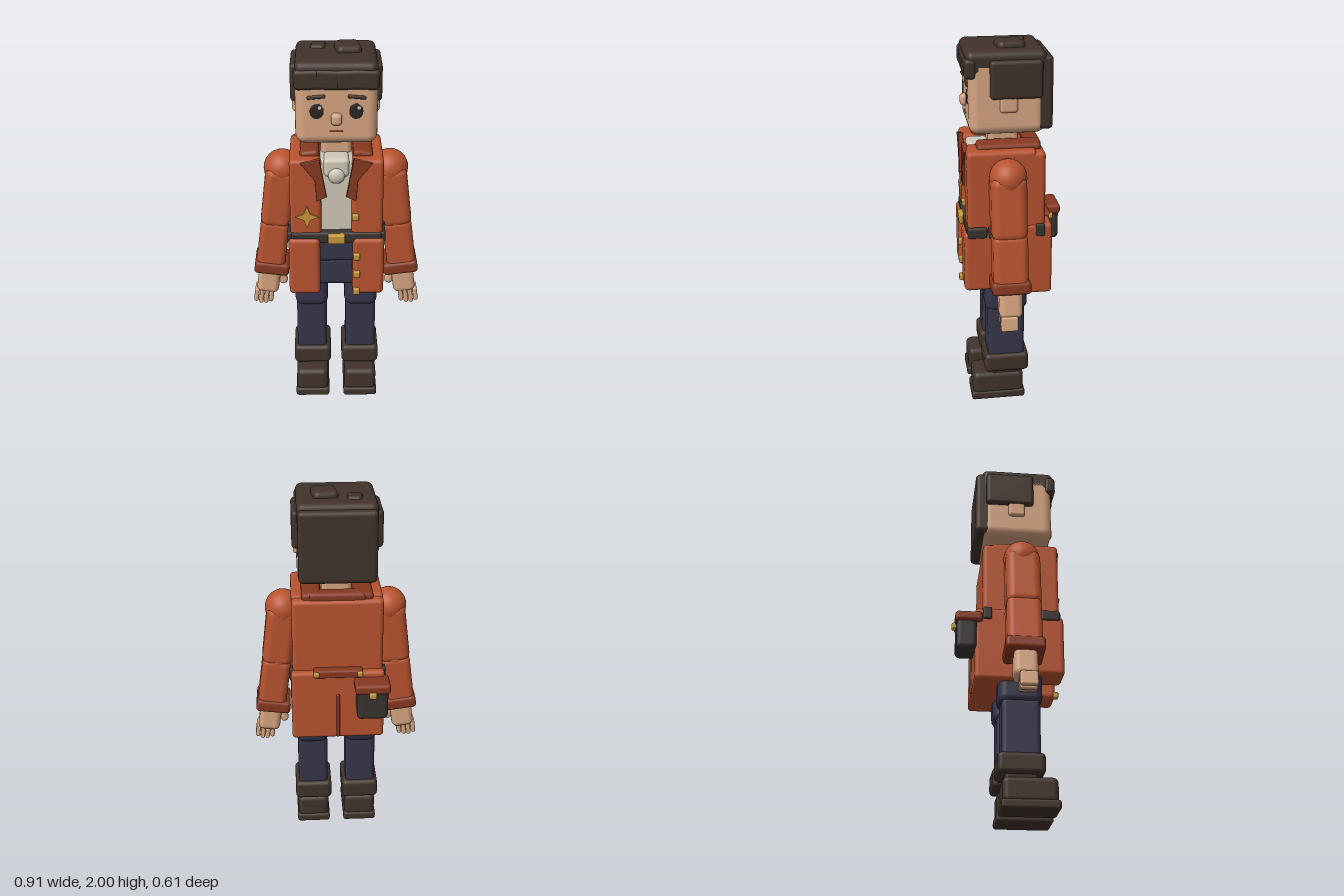
import * as THREE from 'three';
import { RoundedBoxGeometry } from 'three/addons/geometries/RoundedBoxGeometry.js';

const mat = (name, color) => Object.assign(new THREE.MeshStandardMaterial({ color }), { name });

export function createModel() {
  const root = new THREE.Group();
  root.name = 'figure';
  const jacket = mat('rust jacket', 0xb8532f), trim = mat('dark rust trim', 0x863820);
  const skin = mat('skin', 0xd6a582), hair = mat('dark brown', 0x41332a);
  const navy = mat('navy cloth', 0x35354a), gold = mat('brass', 0xc4983a);
  const cream = mat('cream shirt', 0xcfc8b8), leather = mat('charcoal leather', 0x383330);
  const eyeDark = mat('eye', 0x2b2522), lip = mat('lip', 0xa04a3c);

  const add = (name, geo, m, x = 0, y = 0, z = 0, rz = 0) => {
    const mesh = new THREE.Mesh(geo, m);
    mesh.name = name;
    mesh.position.set(x, y, z);
    mesh.rotation.z = rz;
    root.add(mesh);
    return mesh;
  };
  // Rounded block given by its extents on each axis
  const block = (name, m, [x0, x1], [y0, y1], [z0, z1], r = 0.02, rz = 0) => {
    const w = Math.abs(x1 - x0), h = y1 - y0, d = z1 - z0;
    const geo = new RoundedBoxGeometry(w, h, d, 3, Math.min(r, Math.min(w, h, d) * 0.49));
    return add(name, geo, m, (x0 + x1) / 2, (y0 + y1) / 2, (z0 + z1) / 2, rz);
  };
  const ball = (name, m, x, y, z, r, sx = 1, sy = 1, sz = 1) => {
    const mesh = add(name, new THREE.SphereGeometry(r, 24, 16), m, x, y, z);
    mesh.scale.set(sx, sy, sz);
    return mesh;
  };
  // Flat outline with a little thickness
  const plate = (name, m, pts, depth, z, bevel = 0) => {
    const shape = new THREE.Shape(pts.map(p => new THREE.Vector2(...p)));
    const geo = new THREE.ExtrudeGeometry(shape, {
      depth, bevelEnabled: bevel > 0, bevelSize: bevel, bevelThickness: bevel, bevelSegments: 2
    });
    return add(name, geo, m, 0, 0, z);
  };

  // Head and neck
  block('neck', skin, [-0.08, 0.08], [1.4, 1.58], [-0.03, 0.13], 0.03);
  block('head', skin, [-0.205, 0.205], [1.54, 1.94], [-0.15, 0.24], 0.05);
  block('nose', skin, [-0.028, 0.028], [1.65, 1.712], [0.22, 0.268], 0.02);
  block('mouth', lip, [-0.032, 0.032], [1.611, 1.62], [0.235, 0.243], 0.003);
  for (const s of [-1, 1]) {
    ball('eye', eyeDark, s * 0.097, 1.72, 0.24, 0.036, 0.95, 1.1, 0.12);
    ball('eyeGlint', cream, s * 0.097 + 0.014, 1.738, 0.244, 0.009, 1, 1, 0.2);
    block('eyebrow', hair, [s * 0.055, s * 0.145], [1.785, 1.803], [0.235, 0.25], 0.007, -s * 0.09);
    block('ear', skin, [s * 0.19, s * 0.222], [1.66, 1.76], [-0.005, 0.085], 0.015);
  }

  // Hair
  block('hairCap', hair, [-0.205, 0.205], [1.84, 1.968], [-0.155, 0.252], 0.035);
  block('hairBack', hair, [-0.2, 0.2], [1.56, 1.94], [-0.188, -0.045], 0.025);
  for (const s of [-1, 1])
    block('hairSide', hair, [s * 0.16, s * 0.23], [1.73, 1.925], [-0.13, 0.135], 0.02);
  const tufts = [[-0.145, 0.13, 0.04], [-0.045, 0.13, -0.05], [0.055, 0.13, 0.05], [0.145, 0.13, -0.04]];
  for (const [x, w, tilt] of tufts)
    block('fringe', hair, [x - w / 2, x + w / 2], [1.832, 1.935], [0.2, 0.262], 0.022, tilt);
  block('hairTuft', hair, [-0.005, 0.125], [1.94, 2.0], [-0.055, 0.09], 0.028).rotation.y = 0.12;
  block('hairTuft', hair, [-0.128, -0.052], [1.94, 1.982], [-0.08, 0.01], 0.018).rotation.y = -0.12;

  // Shirt
  block('shirt', cream, [-0.13, 0.13], [1.0, 1.455], [-0.1, 0.225], 0.02);
  block('shirtCollar', cream, [-0.067, 0.067], [1.36, 1.465], [0.12, 0.24], 0.025);
  ball('collarButton', cream, 0, 1.372, 0.238, 0.042, 1, 1, 0.6);

  // Jacket body
  block('jacketBack', jacket, [-0.24, 0.24], [1.0, 1.455], [-0.148, 0.0], 0.025);
  block('skirtBack', jacket, [-0.248, 0.248], [0.66, 1.06], [-0.185, 0.12], 0.02);
  block('collarBack', trim, [-0.15, 0.15], [1.43, 1.49], [-0.135, -0.055], 0.02);
  for (const s of [-1, 1]) {
    block('jacketFront', jacket, [s * 0.078, s * 0.24], [1.0, 1.465], [-0.1, 0.26], 0.022);
    block('skirtFront', jacket, [s * 0.085, s * 0.25], [0.695, 1.03], [0.03, 0.282], 0.025);
    block('collarSide', trim, [s * 0.085, s * 0.185], [1.425, 1.49], [-0.13, 0.2], 0.02, -s * 0.12);
    const pts = [[0.175, 1.45], [0.09, 1.47], [0.055, 1.27], [0.098, 1.25], [0.105, 1.36]];
    plate('lapel', trim, pts.map(([x, y]) => [s * x, y]), 0.018, 0.25, 0.005);
    // Belt loops
    for (const z of [0.13, -0.12])
      block('beltLoop', leather, [s * 0.23, s * 0.256], [0.995, 1.065], [z - 0.023, z + 0.023], 0.01);
    block('beltEnd', leather, [s * 0.21, s * 0.256], [1.0, 1.06], [0.16, 0.262], 0.012);
  }
  block('belt', leather, [-0.235, 0.235], [1.0, 1.06], [0.1, 0.268], 0.012);
  block('buckle', gold, [-0.045, 0.045], [1.003, 1.057], [0.25, 0.29], 0.01);

  // Brass buttons and star badge
  for (const [x, y, z] of [[0.097, 1.15, 0.262], [0.105, 0.93, 0.284], [0.105, 0.825, 0.284], [0.105, 0.72, 0.284]])
    block('button', gold, [x - 0.018, x + 0.018], [y - 0.018, y + 0.018], [z - 0.015, z + 0.016], 0.008);
  const star = [];
  for (let i = 0; i < 8; i++) {
    const r = i % 2 ? 0.024 : 0.062, a = i * Math.PI / 4;
    star.push([-0.152 + r * Math.cos(a), 1.152 + r * Math.sin(a)]);
  }
  plate('starBadge', gold, star, 0.009, 0.259);

  // Back strap, vent and hip bag
  block('backStrap', trim, [-0.13, 0.13], [1.03, 1.075], [-0.195, -0.13], 0.012);
  for (const s of [-1, 1])
    block('strapButton', gold, [s * 0.1, s * 0.13], [1.04, 1.07], [-0.208, -0.18], 0.008);
  block('backVent', trim, [-0.009, 0.009], [0.67, 0.93], [-0.193, -0.17], 0.006);
  block('bag', leather, [-0.26, -0.095], [0.822, 1.0], [-0.283, -0.175], 0.025);
  block('bagFlap', trim, [-0.271, -0.084], [0.975, 1.03], [-0.29, -0.145], 0.018);
  block('bagClasp', gold, [-0.197, -0.158], [0.957, 0.992], [-0.305, -0.275], 0.01);

  // Hips
  block('hips', navy, [-0.2, 0.2], [0.85, 1.02], [-0.1, 0.205], 0.03);
  block('trouserSeat', navy, [-0.2, 0.2], [0.7, 0.87], [-0.1, 0.19], 0.03);

  for (const s of [-1, 1]) {
    // Arm, from shoulder to fingers
    ball('shoulder', jacket, s * 0.282, 1.342, 0.055, 0.097);
    block('upperArm', jacket, [s * 0.222, s * 0.386], [1.02, 1.36], [-0.035, 0.15], 0.045, s * 0.12);
    ball('elbow', jacket, s * 0.318, 1.04, 0.055, 0.082, 0.95, 0.7, 1.1);
    block('forearm', jacket, [s * 0.262, s * 0.418], [0.77, 1.06], [-0.035, 0.147], 0.035, s * 0.13);
    block('cuff', trim, [s * 0.255, s * 0.443], [0.742, 0.813], [-0.045, 0.158], 0.02, s * 0.13);
    block('palm', skin, [s * 0.31, s * 0.43], [0.605, 0.76], [-0.002, 0.12], 0.03, s * 0.13);
    block('thumb', skin, [s * 0.278, s * 0.324], [0.64, 0.74], [0.03, 0.085], 0.02, -s * 0.35);
    for (let i = 0; i < 4; i++) {
      const x = 0.346 + i * 0.027, lift = i === 0 ? 0.008 : i === 3 ? 0.012 : 0;
      block('finger', skin, [s * x, s * (x + 0.025)], [0.538 + lift, 0.63], [0.025, 0.115], 0.011, s * 0.13);
    }

    // Leg and boot
    block('thigh', navy, [s * 0.045, s * 0.225], [0.545, 0.8], [-0.06, 0.17], 0.045);
    block('shin', navy, [s * 0.052, s * 0.217], [0.2, 0.575], [-0.043, 0.157], 0.025);
    block('bootCuff', hair, [s * 0.03, s * 0.235], [0.175, 0.285], [-0.065, 0.178], 0.025);
    block('bootAnkle', hair, [s * 0.06, s * 0.21], [0.1, 0.2], [-0.025, 0.14], 0.015);
    block('boot', hair, [s * 0.046, s * 0.222], [0.03, 0.165], [-0.038, 0.242], 0.03);
    block('sole', hair, [s * 0.04, s * 0.227], [0, 0.05], [-0.045, 0.252], 0.015);
  }
  return root;
}
